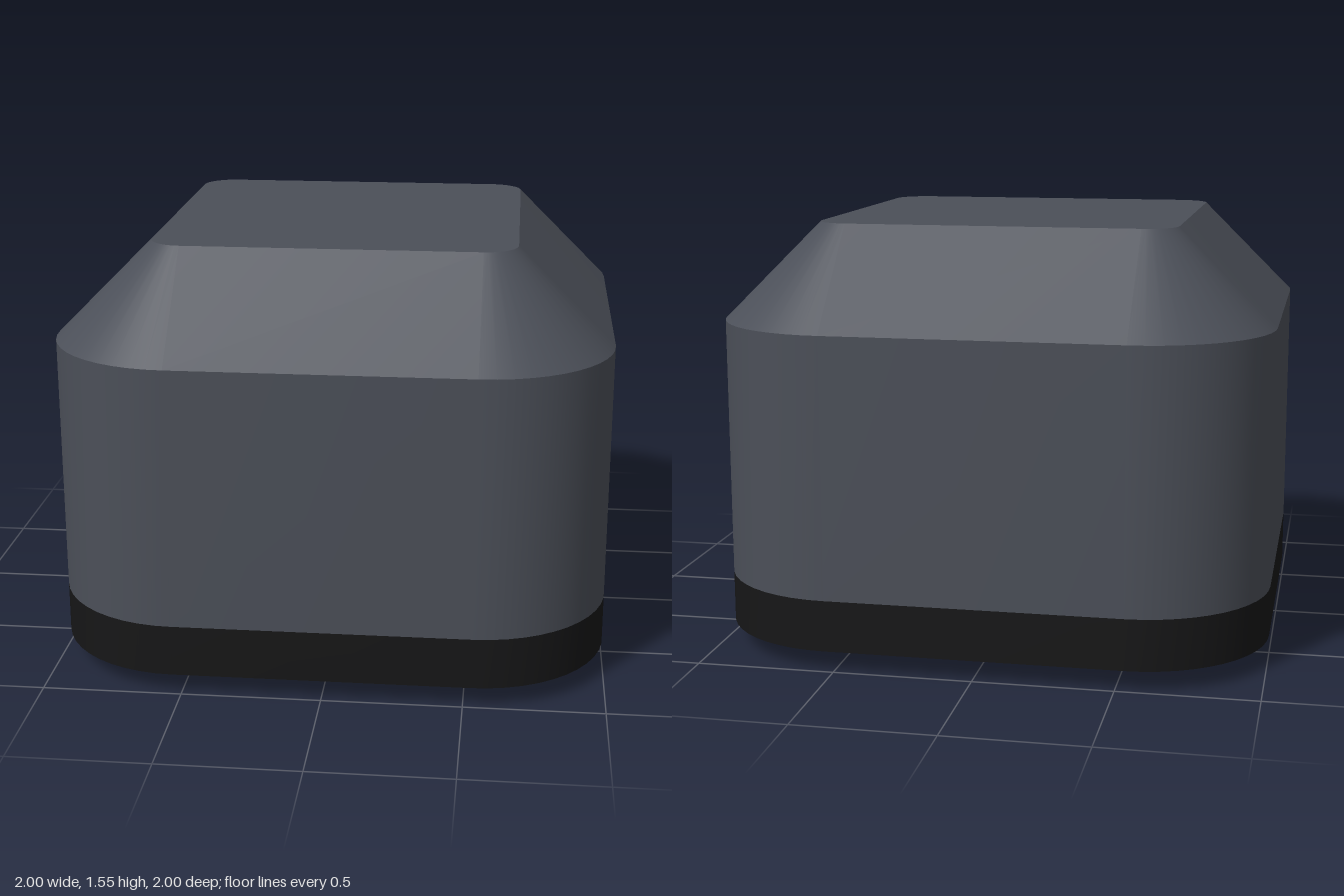
import * as THREE from 'three';
import { toCreasedNormals } from 'three/addons/utils/BufferGeometryUtils.js';

const CORNER_STEPS = 12;

// Outline of a rounded square at height y
function roundedSquare(y, half, radius) {
  const points = [];
  const c = half - radius;
  const signs = [[1, 1], [-1, 1], [-1, -1], [1, -1]];
  signs.forEach(([sx, sz], corner) => {
    for (let i = 0; i <= CORNER_STEPS; i++) {
      const a = (corner + i / CORNER_STEPS) * Math.PI / 2;
      points.push(new THREE.Vector3(sx * c + radius * Math.cos(a), y, sz * c + radius * Math.sin(a)));
    }
  });
  return points;
}

// Closed solid through a stack of rounded squares, given as [y, half width, corner radius]
function loft(sections) {
  const rings = sections.map((s) => roundedSquare(...s));
  const n = rings[0].length;
  const last = rings.length - 1;
  const bottom = new THREE.Vector3(0, sections[0][0], 0);
  const top = new THREE.Vector3(0, sections[last][0], 0);
  const triangles = [];
  for (let i = 0; i < n; i++) {
    const j = (i + 1) % n;
    for (let k = 0; k < last; k++) {
      const lo = rings[k], hi = rings[k + 1];
      triangles.push(lo[i], hi[i], lo[j], lo[j], hi[i], hi[j]);
    }
    triangles.push(bottom, rings[0][i], rings[0][j]);
    triangles.push(top, rings[last][j], rings[last][i]);
  }
  const geometry = new THREE.BufferGeometry().setFromPoints(triangles);
  return toCreasedNormals(geometry, 0.5);
}

export function createModel() {
  const group = new THREE.Group();
  const bodyMaterial = new THREE.MeshStandardMaterial({ color: 0x4b4f58 });
  const baseMaterial = new THREE.MeshStandardMaterial({ color: 0x161617 });

  const add = (name, geometry, material) => {
    const mesh = new THREE.Mesh(geometry, material);
    mesh.name = name;
    group.add(mesh);
    return mesh;
  };

  // Housing with a chamfered top
  add('housing', loft([[0.26, 1, 0.47], [1.2, 1, 0.47], [1.55, 0.65, 0.12]]), bodyMaterial);

  // Dark base plate
  add('basePlate', loft([[0.075, 1, 0.47], [0.26, 1, 0.47]]), baseMaterial);

  // Round boss under the base
  add('bottomBoss', new THREE.CylinderGeometry(0.235, 0.235, 0.075, 48), baseMaterial).position.y = 0.0375;

  return group;
}
